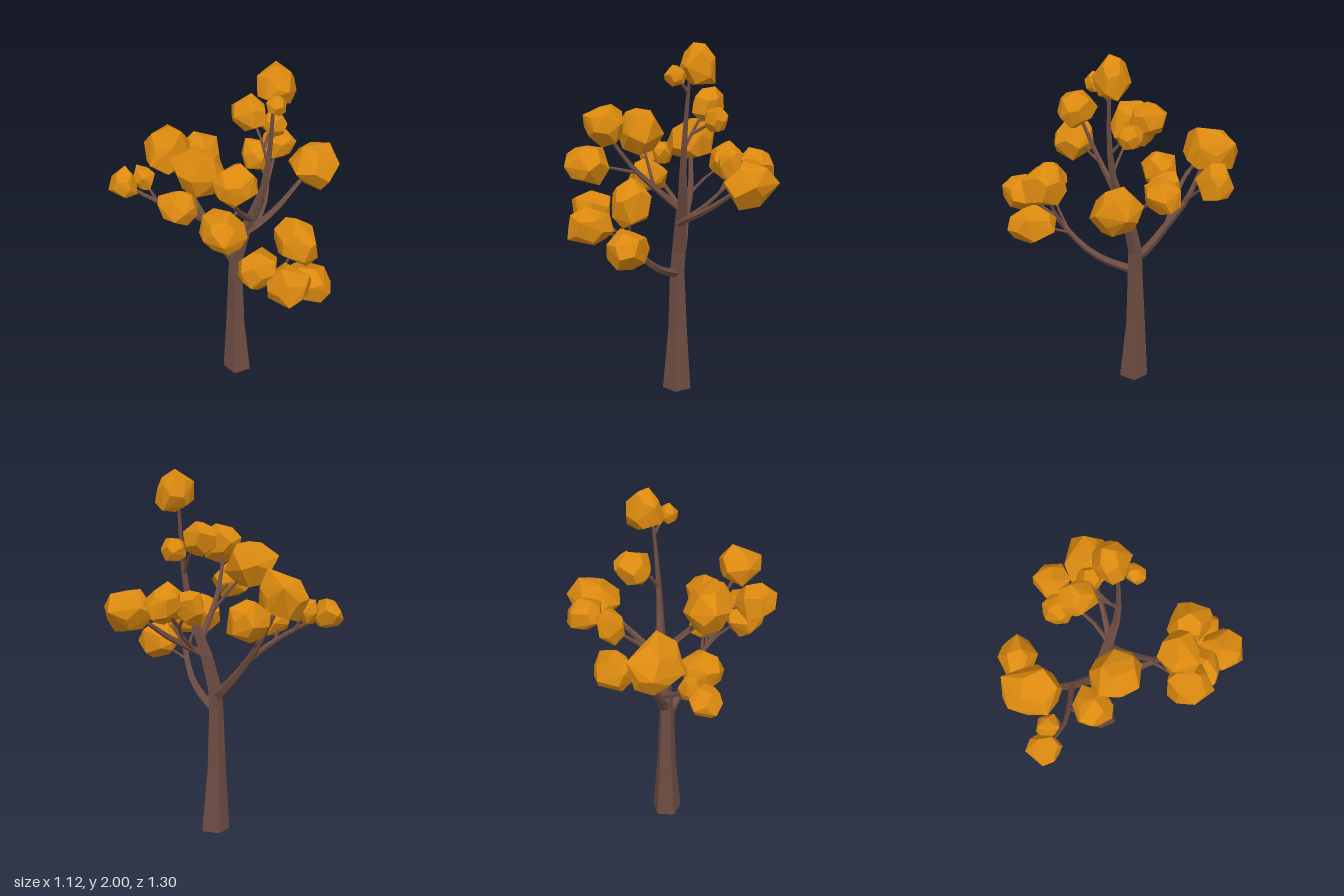
import * as THREE from 'three';
import { mergeVertices } from 'three/addons/utils/BufferGeometryUtils.js';
import { ConvexGeometry } from 'three/addons/geometries/ConvexGeometry.js';

const SIDES = 5;

// Small seeded random generator
function seeded(seed) {
  let s = seed * 7919 + 17;
  return () => {
    s = (s * 16807) % 2147483647;
    return s / 2147483647;
  };
}

// Trunk: a pentagonal column whose rows follow [x, y, z, radius]
function trunkGeometry(rows) {
  const n = rows.length - 1;
  const geo = new THREE.CylinderGeometry(1, 1, n, SIDES, n, false, Math.PI / 2);
  const p = geo.attributes.position;
  for (let i = 0; i < p.count; i++) {
    const [x, y, z, r] = rows[Math.round(p.getY(i) + n / 2)];
    p.setXYZ(i, x + p.getX(i) * r, y, z + p.getZ(i) * r);
  }
  return geo;
}

// Branch: a tube along a curve, tapering from r0 to r1
function branchGeometry(points, r0, r1) {
  const curve = new THREE.CatmullRomCurve3(points.map((q) => new THREE.Vector3(...q)));
  const segs = (points.length - 1) * 2;
  const geo = new THREE.TubeGeometry(curve, segs, 1, SIDES);
  const p = geo.attributes.position;
  const v = new THREE.Vector3();
  for (let i = 0; i < p.count; i++) {
    const t = Math.floor(i / (SIDES + 1)) / segs;
    const c = curve.getPointAt(t);
    v.fromBufferAttribute(p, i).sub(c).multiplyScalar(r0 + (r1 - r0) * t).add(c);
    p.setXYZ(i, v.x, v.y, v.z);
  }
  return geo;
}

// Leaf clump: a turned, uneven dodecahedron fitted to half sizes
function clumpGeometry(seed, hx, hy, hz) {
  const rnd = seeded(seed);
  let base = new THREE.DodecahedronGeometry(1);
  base.deleteAttribute('normal');
  base.deleteAttribute('uv');
  base = mergeVertices(base, 1e-3);
  const turn = new THREE.Euler(rnd() * 6, rnd() * 6, rnd() * 6);
  const pts = [];
  for (let i = 0; i < base.attributes.position.count; i++) {
    const v = new THREE.Vector3().fromBufferAttribute(base.attributes.position, i);
    v.x += (rnd() - 0.5) * 0.3;
    v.y += (rnd() - 0.5) * 0.3;
    v.z += (rnd() - 0.5) * 0.3;
    pts.push(v.applyEuler(turn));
  }
  const box = new THREE.Box3().setFromPoints(pts);
  const mid = box.getCenter(new THREE.Vector3());
  const size = box.getSize(new THREE.Vector3());
  const fit = new THREE.Vector3(2 * hx, 2 * hy, 2 * hz).divide(size);
  pts.forEach((v) => v.sub(mid).multiply(fit));
  return new ConvexGeometry(pts);
}

export function createModel() {
  const tree = new THREE.Group();
  tree.name = 'tree';
  const bark = new THREE.MeshStandardMaterial({ color: 0x6d4c41, flatShading: true });
  bark.name = 'bark brown';
  const leaf = new THREE.MeshStandardMaterial({ color: 0xdb890f, flatShading: true });
  leaf.name = 'autumn orange';
  const add = (name, geo, mat) => {
    const mesh = new THREE.Mesh(geo, mat);
    mesh.name = name;
    tree.add(mesh);
    return mesh;
  };

  add('trunk', trunkGeometry([
    [-0.075, 0, -0.08, 0.084], [-0.075, 0.36, -0.09, 0.056], [-0.075, 0.7, -0.085, 0.043],
    [-0.065, 0.82, -0.085, 0.041], [-0.035, 1.0, -0.05, 0.036], [0.0, 1.16, 0.0, 0.028],
    [0.02, 1.3, 0.04, 0.021], [0.035, 1.45, 0.058, 0.016], [0.05, 1.62, 0.063, 0.012],
    [0.07, 1.85, 0.06, 0.008],
  ]), bark);

  // Main limbs: name, start radius, end radius, path
  const limbs = [
    ['frontLimb', 0.027, 0.012, [[-0.075, 0.69, -0.08], [-0.09, 0.75, 0.08], [-0.11, 0.82, 0.19],
      [-0.15, 0.93, 0.3], [-0.19, 1.01, 0.38]]],
    ['backLimb', 0.03, 0.012, [[-0.07, 0.76, -0.08], [-0.08, 0.83, -0.16], [-0.115, 0.96, -0.27],
      [-0.13, 1.09, -0.37], [-0.17, 1.28, -0.46]]],
    ['backRightLimb', 0.017, 0.009, [[-0.11, 0.97, -0.27], [-0.24, 1.08, -0.33],
      [-0.37, 1.17, -0.41], [-0.45, 1.24, -0.52]]],
    ['leftLimb', 0.022, 0.01, [[-0.035, 1.0, -0.03], [0.03, 1.04, 0.0], [0.14, 1.1, 0.02],
      [0.27, 1.19, 0.03], [0.36, 1.26, 0.04]]],
    ['leftBackLimb', 0.014, 0.009, [[0.02, 1.04, -0.01], [0.12, 1.12, -0.05], [0.19, 1.2, -0.11]]],
    ['rightLimb', 0.021, 0.01, [[-0.02, 1.08, -0.02], [-0.13, 1.19, 0.04], [-0.25, 1.33, 0.12],
      [-0.33, 1.48, 0.19]]],
  ];
  for (const [name, r0, r1, path] of limbs) add(name, branchGeometry(path, r0, r1), bark);

  // Twigs that carry the leaf clumps
  const twigs = [
    [[-0.14, 0.91, 0.28], [-0.22, 1.02, 0.34], [-0.32, 1.11, 0.37]],
    [[-0.18, 1.0, 0.37], [-0.22, 1.05, 0.45], [-0.26, 1.09, 0.51]],
    [[-0.15, 0.94, 0.31], [-0.13, 1.06, 0.37], [-0.1, 1.18, 0.41]],
    [[-0.14, 0.9, 0.27], [-0.11, 0.94, 0.36], [-0.08, 0.97, 0.45]],
    [[-0.13, 1.08, -0.36], [-0.06, 1.17, -0.42], [0.02, 1.24, -0.48]],
    [[-0.27, 1.1, -0.345], [-0.32, 1.15, -0.31], [-0.33, 1.2, -0.26]],
    [[-0.35, 1.15, -0.4], [-0.37, 1.22, -0.44], [-0.37, 1.27, -0.48]],
    [[0.18, 1.19, -0.1], [0.19, 1.25, -0.16], [0.19, 1.3, -0.21]],
    [[0.18, 1.19, -0.1], [0.25, 1.25, -0.14], [0.33, 1.32, -0.19]],
    [[-0.22, 1.29, 0.1], [-0.33, 1.32, 0.17], [-0.42, 1.34, 0.22]],
    [[-0.15, 1.21, 0.05], [-0.22, 1.33, -0.01], [-0.29, 1.44, -0.07]],
    [[0.035, 1.44, 0.055], [0.06, 1.54, -0.02], [0.08, 1.62, -0.11]],
    [[0.05, 1.51, 0.01], [0.1, 1.54, -0.02], [0.16, 1.58, -0.04]],
    [[0.06, 1.74, 0.062], [0.045, 1.78, 0.09], [0.025, 1.82, 0.12]],
  ];
  for (const path of twigs) add('twig', branchGeometry(path, 0.01, 0.006), bark);

  // Leaf clumps: centre, then half sizes
  const clumps = [
    [0.1, 1.89, 0.05, 0.1, 0.11, 0.1], [0.02, 1.835, 0.135, 0.05, 0.055, 0.05],
    [0.075, 1.65, -0.14, 0.088, 0.095, 0.1], [0.17, 1.59, -0.045, 0.065, 0.065, 0.065],
    [-0.35, 1.56, 0.22, 0.113, 0.118, 0.112], [-0.31, 1.48, -0.095, 0.12, 0.12, 0.14],
    [-0.445, 1.34, 0.24, 0.115, 0.1, 0.112], [-0.2, 1.38, -0.505, 0.135, 0.13, 0.148],
    [0.04, 1.265, -0.5, 0.105, 0.11, 0.1], [-0.465, 1.26, -0.55, 0.085, 0.085, 0.092],
    [-0.37, 1.27, -0.49, 0.06, 0.065, 0.065], [-0.33, 1.21, -0.235, 0.115, 0.095, 0.1],
    [0.19, 1.31, -0.215, 0.075, 0.09, 0.085], [0.345, 1.33, -0.195, 0.1, 0.095, 0.09],
    [0.405, 1.275, 0.04, 0.15, 0.12, 0.137], [-0.345, 1.14, 0.385, 0.115, 0.11, 0.1],
    [-0.265, 1.1, 0.53, 0.11, 0.095, 0.12], [-0.097, 1.22, 0.41, 0.107, 0.125, 0.123],
    [-0.09, 0.985, 0.485, 0.103, 0.102, 0.135],
  ];
  clumps.forEach(([x, y, z, hx, hy, hz], i) => {
    add('leafClump', clumpGeometry(i + 1, hx, hy, hz), leaf).position.set(x, y, z);
  });

  return tree;
}
